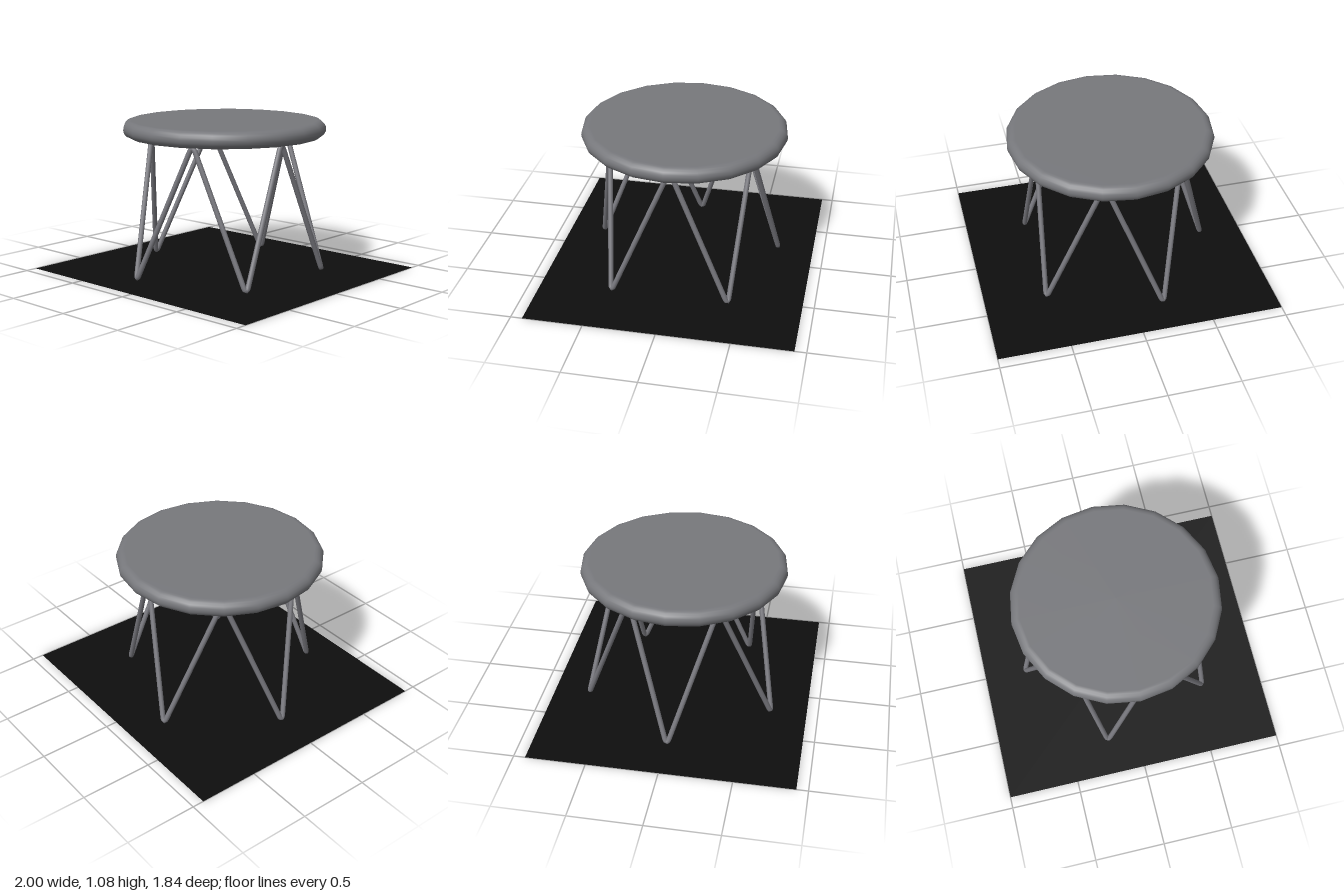
import * as THREE from 'three';

const seatGrey = new THREE.MeshStandardMaterial({ color: 0x77787c });
seatGrey.name = 'seat grey';
const steelGrey = new THREE.MeshStandardMaterial({ color: 0x78787e });
steelGrey.name = 'steel grey';
const floorBlack = new THREE.MeshStandardMaterial({ color: 0x0e0e0e, side: THREE.DoubleSide });
floorBlack.name = 'floor black';

function part(name, geometry, material) {
  const mesh = new THREE.Mesh(geometry, material);
  mesh.name = name;
  return mesh;
}

// Round cushion: twenty-sided disc with a fully rounded rim
function seatGeometry() {
  const bottom = 0.963, top = 1.08, radius = 0.715, rim = 0.06;
  const mid = (bottom + top) / 2, half = (top - bottom) / 2;
  const profile = [new THREE.Vector2(0, bottom)];
  for (let i = 0; i <= 10; i++) {
    const a = -Math.PI / 2 + (Math.PI * i) / 10;
    profile.push(new THREE.Vector2(radius - rim + rim * Math.cos(a), mid + half * Math.sin(a)));
  }
  profile.push(new THREE.Vector2(0, top));
  return new THREE.LatheGeometry(profile, 20);
}

// One continuous bent rod: zigzag between five upper and five lower bends
function legGeometry() {
  const corners = [];
  for (let i = 0; i < 10; i++) {
    const a = (i * Math.PI) / 5, isTop = i % 2 === 0;
    const r = isTop ? 0.518 : 0.703;
    corners.push(new THREE.Vector3(r * Math.cos(a), isTop ? 0.966 : -0.007, r * Math.sin(a)));
  }
  const path = new THREE.CurvePath();
  const bend = 0.06;
  corners.forEach((c, i) => {
    const prev = corners[(i + 9) % 10], next = corners[(i + 1) % 10];
    const start = prev.clone().lerp(c, 0.5);
    const end = c.clone().lerp(next, 0.5);
    const inPoint = c.clone().add(prev.clone().sub(c).setLength(bend));
    const outPoint = c.clone().add(next.clone().sub(c).setLength(bend));
    path.add(new THREE.LineCurve3(start, inPoint));
    path.add(new THREE.QuadraticBezierCurve3(inPoint, c, outPoint));
    path.add(new THREE.LineCurve3(outPoint, end));
  });
  path.arcLengthDivisions = 2000;
  return new THREE.TubeGeometry(path, 900, 0.018, 10, true);
}

export function createModel() {
  const group = new THREE.Group();
  group.name = 'stool';
  group.add(part('seat', seatGeometry(), seatGrey));
  group.add(part('zigzagLegs', legGeometry(), steelGrey));

  // Flat floor sheet under the legs
  const floor = new THREE.PlaneGeometry(2, 1.84);
  floor.rotateX(-Math.PI / 2);
  group.add(part('floor', floor, floorBlack));
  return group;
}
